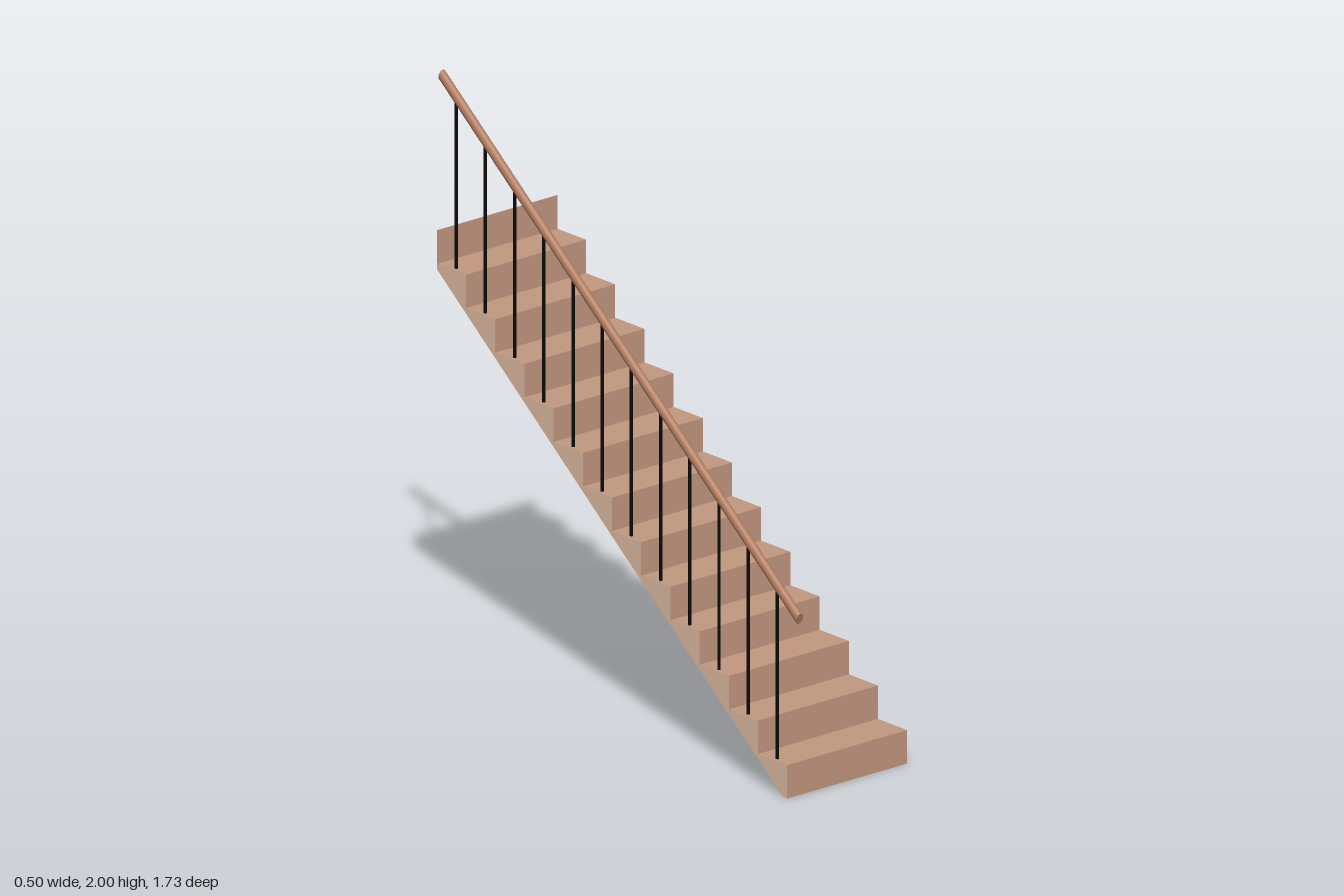
import * as THREE from 'three';

const STEPS = 12, RISE = 0.1124, RUN = 0.1405, WIDTH = 0.505;
const FRONT = 0.82, BACK = FRONT - STEPS * RUN;
const RAIL_X = -0.236, RAIL_FRONT = 0.861, RAIL_Y = 0.611, RAIL_LENGTH = 1.721, SLOPE = 0.7966;

const wood = new THREE.MeshStandardMaterial({ color: 0xc39880 });
const sideWood = new THREE.MeshStandardMaterial({ color: 0xe2bea6, side: THREE.DoubleSide });
const railWood = new THREE.MeshStandardMaterial({ color: 0xb27c60 });
const iron = new THREE.MeshStandardMaterial({ color: 0x080808 });
const grey = new THREE.MeshStandardMaterial({ color: 0xcccccc, side: THREE.DoubleSide });

export function createModel() {
  const model = new THREE.Group();
  const add = (parent, name, geometry, material, x = 0, y = 0, z = 0) => {
    const mesh = new THREE.Mesh(geometry, material);
    mesh.name = name;
    mesh.position.set(x, y, z);
    parent.add(mesh);
    return mesh;
  };

  // Full-width panel between two profile points [z, y]
  const panel = (parent, name, material, [z0, y0], [z1, y1]) => {
    const geometry = new THREE.PlaneGeometry(WIDTH, Math.hypot(z1 - z0, y1 - y0));
    const mesh = add(parent, name, geometry, material, 0, (y0 + y1) / 2, (z0 + z1) / 2);
    mesh.rotation.x = Math.atan2(z1 - z0, y1 - y0);
  };

  // Risers and treads
  const flight = new THREE.Group();
  flight.name = 'flight';
  model.add(flight);
  const profile = [[FRONT, 0]];
  for (let i = 0; i < STEPS; i++) {
    const z = FRONT - i * RUN, y = i * RISE;
    panel(flight, 'riser', wood, [z, y], [z, y + RISE]);
    panel(flight, 'tread', wood, [z, y + RISE], [z - RUN, y + RISE]);
    profile.push([z, y + RISE], [z - RUN, y + RISE]);
  }

  // Thin top riser: wood in front, grey behind
  const thickness = 0.003;
  add(flight, 'topRiser', new THREE.BoxGeometry(WIDTH, RISE, thickness),
    [wood, wood, wood, wood, wood, grey], 0, (STEPS + 0.5) * RISE, BACK + thickness / 2);

  // Back edge, sloping underside and foot
  const lowBack = [BACK, 1.33], foot = [0.8, 0];
  panel(model, 'backEdge', grey, [BACK, STEPS * RISE], lowBack);
  panel(model, 'underside', grey, lowBack, foot);
  panel(model, 'foot', grey, foot, [FRONT, 0]);
  profile.push(lowBack, foot);

  // Stepped side faces
  const sideShape = new THREE.Shape(profile.map(([z, y]) => new THREE.Vector2(-z, y)));
  for (const s of [-1, 1]) {
    const side = add(model, s < 0 ? 'rightSide' : 'leftSide',
      new THREE.ShapeGeometry(sideShape), sideWood, s * WIDTH / 2);
    side.rotation.y = Math.PI / 2;
  }

  // Handrail: rounded section, sheared to the pitch of the stairs
  const section = new THREE.Shape();
  section.absellipse(0, 0, 0.0145, 0.018, 0, Math.PI * 2);
  const rail = new THREE.ExtrudeGeometry(section, { depth: RAIL_LENGTH, bevelEnabled: false, curveSegments: 12 });
  rail.translate(0, 0, -RAIL_LENGTH);
  rail.applyMatrix4(new THREE.Matrix4().set(
    1, 0, 0, 0,
    0, 1, -SLOPE, 0,
    0, 0.25, 1, 0,
    0, 0, 0, 1));
  rail.computeVertexNormals();
  add(model, 'handrail', rail, railWood, RAIL_X, RAIL_Y, RAIL_FRONT);

  // One baluster per tread
  const balusters = new THREE.Group();
  balusters.name = 'balusters';
  model.add(balusters);
  for (let i = 0; i < STEPS; i++) {
    const z = 0.754 - i * RUN, bottom = (i + 1) * RISE;
    const top = RAIL_Y + (RAIL_FRONT - z) * SLOPE;
    add(balusters, 'baluster', new THREE.CylinderGeometry(0.0055, 0.0055, top - bottom, 8),
      iron, RAIL_X, (top + bottom) / 2, z);
  }
  return model;
}
